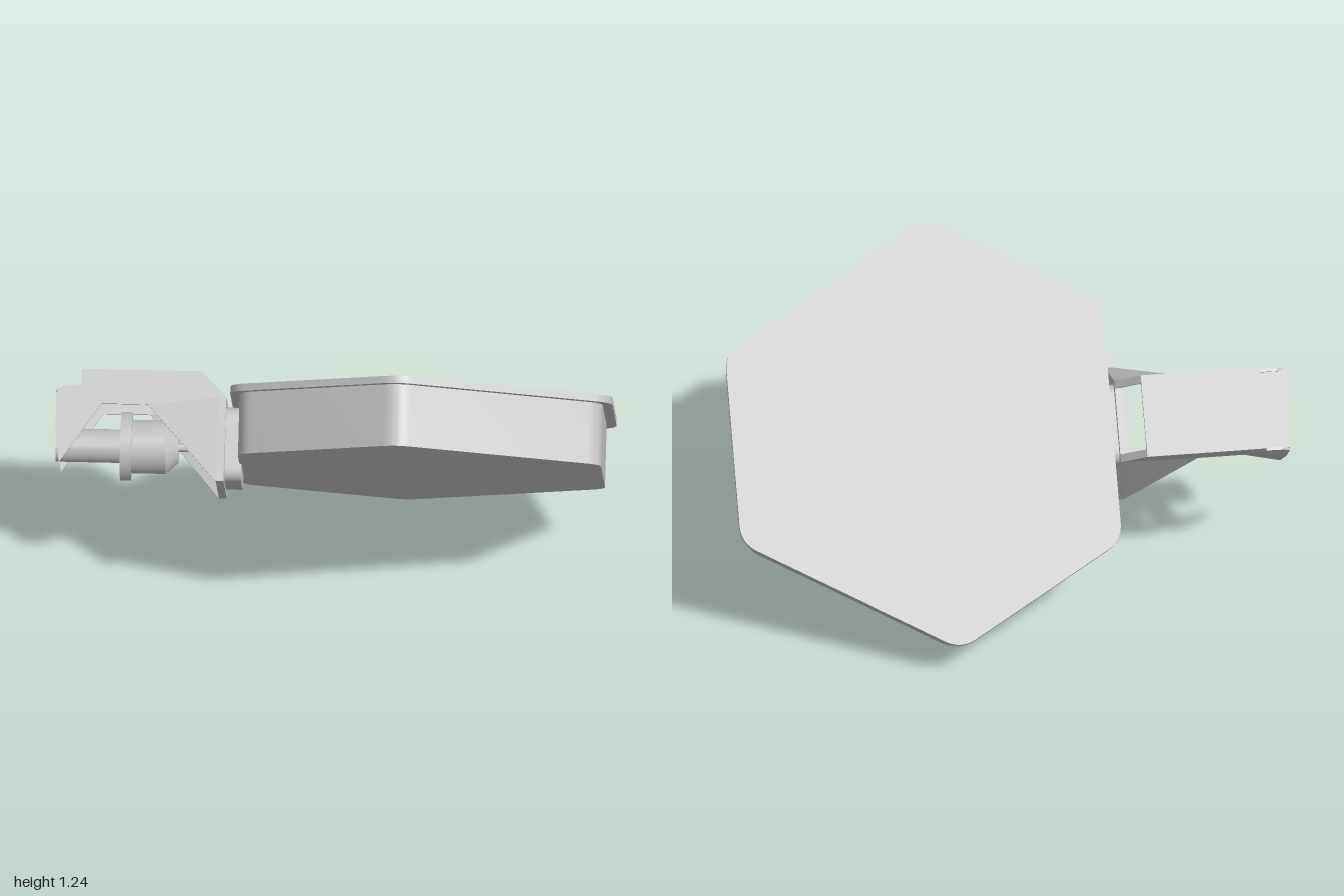
import * as THREE from 'three';
import { toCreasedNormals } from 'three/addons/utils/BufferGeometryUtils.js';

const MID = 0.443; // centre line of the tilted unit, along its own height

// closed outline; corners are softened by cutting t off each side
function outline(points, t = 0) {
  const shape = new THREE.Shape();
  const p = points.map(([x, y]) => new THREE.Vector2(x, y));
  p.forEach((c, i) => {
    const prev = p[(i + p.length - 1) % p.length], next = p[(i + 1) % p.length];
    const a = c.clone().add(prev.clone().sub(c).setLength(t));
    const b = c.clone().add(next.clone().sub(c).setLength(t));
    if (i === 0) shape.moveTo(a.x, a.y); else shape.lineTo(a.x, a.y);
    if (t > 0) shape.quadraticCurveTo(c.x, c.y, b.x, b.y);
  });
  shape.closePath();
  return shape;
}

const extrude = (shape, depth) =>
  new THREE.ExtrudeGeometry(shape, { depth, bevelEnabled: false, curveSegments: 10 });

// hexagon with vertical sides at x0 and x1 and 30 degree slopes to an apex at x = 0.24
function hexagon(x0, x1, half, t) {
  const ax = 0.24, k = Math.tan(Math.PI / 6);
  const h0 = half - k * (ax - x0), h1 = half - k * (x1 - ax);
  return outline([[x0, -h0], [ax, -half], [x1, -h1], [x1, h1], [ax, half], [x0, h0]], t);
}

// section drawn in (height, depth), extruded along x
function alongX(shape, x0, x1) {
  const basis = new THREE.Matrix4().makeBasis(
    new THREE.Vector3(0, 1, 0), new THREE.Vector3(0, 0, 1), new THREE.Vector3(1, 0, 0));
  return extrude(shape, x1 - x0).applyMatrix4(basis).translate(x0, 0, 0);
}

// bracket cheek drawn in (x, depth); the part beyond the fold line splays outward
function cheek(points, side) {
  const g = extrude(outline(points), 0.011).translate(0, 0, side > 0 ? 0.137 : -0.148);
  const p = g.attributes.position;
  for (let i = 0; i < p.count; i++) {
    const x = p.getX(i);
    if (x < -0.67) continue;
    const fold = -0.504 - (x + 0.67) * 0.1214;
    p.setZ(i, p.getZ(i) + side * 0.29 * Math.max(0, p.getY(i) - fold));
  }
  return g.rotateX(Math.PI / 2);
}

export function createModel() {
  const model = new THREE.Group();
  model.name = 'tiltedHexUnit';
  const tilted = new THREE.Group();
  tilted.name = 'tiltedAssembly';
  tilted.rotation.x = Math.PI / 4;
  model.add(tilted);

  const grey = new THREE.MeshStandardMaterial({ color: 0xc0c0c0 });
  grey.name = 'plainGrey';

  const add = (name, geometry, w = 0) => {
    const mesh = new THREE.Mesh(toCreasedNormals(geometry, 0.5), grey);
    mesh.name = name;
    mesh.position.set(0, MID, w);
    tilted.add(mesh);
    return mesh;
  };

  // hexagonal housing and its overhanging lid
  add('housing', extrude(hexagon(-0.337, 0.965, 0.749, 0.055), 0.223), -0.52);
  add('lid', extrude(hexagon(-0.37, 1.0, 0.784, 0.065), 0.026), -0.546);

  // neck between housing and bracket
  add('neck', alongX(outline([[-0.145, -0.505], [0.145, -0.505], [0.145, -0.235], [-0.145, -0.235]], 0.05), -0.395, -0.33));

  // bracket: end plate, channel web, lower web at the open end
  add('bracketEndPlate', alongX(outline([[-0.148, -0.538], [0.148, -0.538], [0.24, -0.22], [-0.24, -0.22]]), -0.418, -0.39));
  add('bracketWeb', alongX(outline([
    [-0.148, -0.628], [0.148, -0.628], [0.148, -0.582], [0.137, -0.582],
    [0.106, -0.614], [-0.106, -0.614], [-0.137, -0.582], [-0.148, -0.582],
  ]), -0.91, -0.478));
  add('bracketLowerWeb', alongX(outline([[-0.14, -0.56], [0.14, -0.56], [0.14, -0.548], [-0.14, -0.548]]), -1, -0.9));

  // both cheeks, each with a splayed corner and a sloped rail beside the window
  for (const side of [1, -1]) {
    add('bracketCheek', cheek([
      [-0.91, -0.628], [-0.48, -0.628], [-0.39, -0.538], [-0.67, -0.504], [-0.837, -0.504],
      [-0.985, -0.29], [-1, -0.4], [-1, -0.54], [-0.975, -0.565], [-0.91, -0.572],
    ], side));
    add('bracketFlare', cheek([[-0.67, -0.504], [-0.39, -0.538], [-0.39, -0.22], [-0.42, -0.22]], side));
    const rail = extrude(outline([[-0.48, -0.628], [-0.39, -0.538], [-0.39, -0.522], [-0.48, -0.612]]), 0.028)
      .translate(0, 0, side > 0 ? 0.12 : -0.148).rotateX(Math.PI / 2);
    add('bracketWindowRail', rail);
  }

  // turned spindle lying along x: shaft, collar, drum, taper and tip
  const profile = [
    [0, -1], [0.06, -1], [0.06, -0.768], [0.123, -0.768], [0.123, -0.728], [0.096, -0.728],
    [0.096, -0.605], [0.055, -0.56], [0.016, -0.56], [0.016, -0.527], [0, -0.527],
  ].map(([r, x]) => new THREE.Vector2(r, x));
  add('spindle', new THREE.LatheGeometry(profile, 40).rotateZ(-Math.PI / 2), -0.37);

  return model;
}
